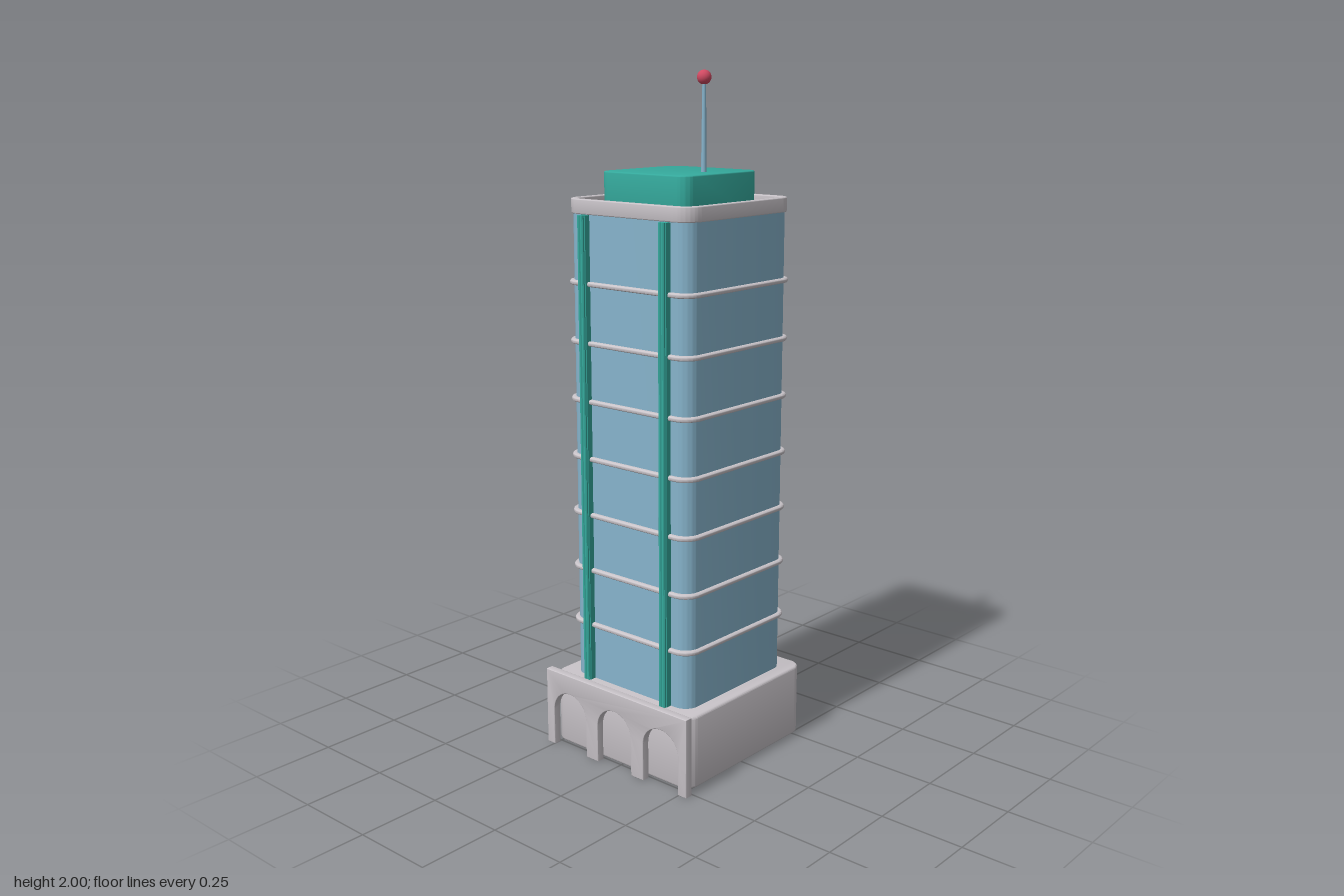
import * as THREE from 'three';
import { toCreasedNormals } from 'three/addons/utils/BufferGeometryUtils.js';

const material = (name, color) => {
  const m = new THREE.MeshStandardMaterial({ color });
  m.name = name;
  return m;
};

// Square outline with rounded corners, given by its half width
function roundedSquare(h, r, Type = THREE.Shape) {
  const s = new Type();
  s.moveTo(h - r, -h);
  s.absarc(h - r, -h + r, r, -Math.PI / 2, 0);
  s.absarc(h - r, h - r, r, 0, Math.PI / 2);
  s.absarc(-h + r, h - r, r, Math.PI / 2, Math.PI);
  s.absarc(-h + r, -h + r, r, Math.PI, Math.PI * 1.5);
  s.closePath();
  return s;
}

// Extrusion along z from 0 to depth, with the bevel kept inside the outline
function extrude(shape, depth, bevel) {
  const g = new THREE.ExtrudeGeometry(shape, {
    depth: depth - 2 * bevel, bevelEnabled: bevel > 0, bevelThickness: bevel,
    bevelSize: bevel, bevelOffset: -bevel, bevelSegments: 3, curveSegments: 10,
  });
  g.translate(0, 0, bevel);
  return toCreasedNormals(g, 0.6);
}

// Upright extrusion between two heights
function upright(shape, y0, y1, bevel) {
  return extrude(shape, y1 - y0, bevel).rotateX(-Math.PI / 2).translate(0, y0, 0);
}

export function createModel() {
  const model = new THREE.Group();
  model.name = 'tower';
  const stone = material('stone', 0xc8c3c8);
  const glass = material('glass', 0x87b4cc);
  const teal = material('teal', 0x35aa9d);
  const red = material('red', 0xd04a62);

  const add = (parent, name, geometry, mat, x = 0, y = 0, z = 0) => {
    const mesh = new THREE.Mesh(geometry, mat);
    mesh.name = name;
    mesh.position.set(x, y, z);
    parent.add(mesh);
    return mesh;
  };

  // Everything but the arcade and the fins shares one axis, slightly behind the centre
  const body = new THREE.Group();
  body.name = 'body';
  body.position.z = -0.0125;
  model.add(body);

  add(body, 'base', upright(roundedSquare(0.268, 0.04), 0.008, 0.226, 0.006), stone);
  add(body, 'glassShaft', upright(roundedSquare(0.225, 0.045), 0.22, 1.612, 0), glass);

  // Floor bands
  const band = upright(roundedSquare(0.237, 0.055), -0.007, 0.007, 0.006);
  for (let i = 0; i < 7; i++) add(body, 'floorBand', band, stone, 0, 0.397 + i * 0.1695, 0);

  // Parapet ring around the sunken roof
  const ring = roundedSquare(0.232, 0.055);
  ring.holes.push(roundedSquare(0.212, 0.038, THREE.Path));
  add(body, 'parapet', upright(ring, 1.608, 1.65, 0.003), stone);

  // Roof house and antenna
  add(body, 'roofHouse', upright(roundedSquare(0.161, 0.038), 1.6, 1.724, 0.004), teal);
  add(body, 'antennaMast', new THREE.CylinderGeometry(0.005, 0.008, 0.27, 16), glass, 0.089, 1.85, 0);
  add(body, 'antennaBall', new THREE.SphereGeometry(0.02, 24, 16), red, 0.089, 1.98, 0);

  // Front fins: a flat strip with two rounded ribs
  const fin = new THREE.Shape();
  fin.moveTo(-0.013, -0.205);
  fin.lineTo(-0.013, -0.23);
  fin.lineTo(-0.011, -0.232);
  fin.lineTo(-0.011, -0.236);
  fin.lineTo(-0.008, -0.239);
  fin.lineTo(-0.003, -0.239);
  fin.lineTo(0, -0.235);
  fin.lineTo(0.003, -0.239);
  fin.lineTo(0.008, -0.239);
  fin.lineTo(0.011, -0.236);
  fin.lineTo(0.011, -0.232);
  fin.lineTo(0.013, -0.23);
  fin.lineTo(0.013, -0.205);
  fin.closePath();
  const finGeometry = upright(fin, 0.222, 1.607, 0);
  for (const side of [-1, 1]) add(model, 'frontFin', finGeometry, teal, side * 0.15, 0, 0);

  // Arcade plate with three arches open at the foot
  const arcade = new THREE.Shape();
  const w = 0.067;
  arcade.moveTo(-0.278, 0);
  for (const x of [-0.181, 0, 0.181]) {
    arcade.lineTo(x - w, 0);
    arcade.lineTo(x - w, 0.113);
    arcade.absarc(x, 0.113, w, Math.PI, 0, true);
    arcade.lineTo(x + w, 0);
  }
  arcade.lineTo(0.278, 0);
  arcade.lineTo(0.278, 0.238);
  arcade.lineTo(-0.278, 0.238);
  arcade.closePath();
  add(model, 'arcade', extrude(arcade, 0.025, 0.002), stone, 0, 0, 0.255);

  return model;
}
